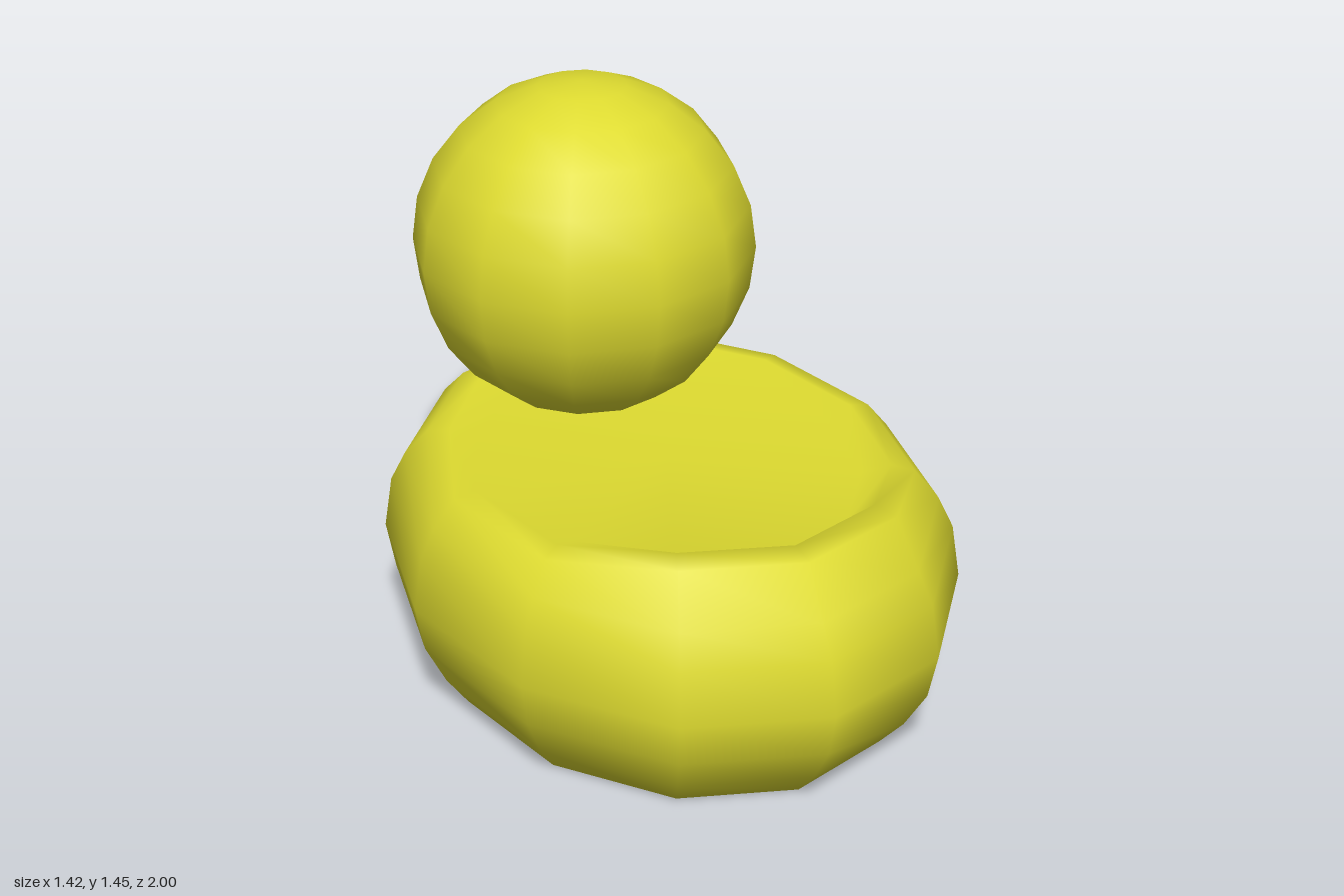
import * as THREE from 'three';
import { mergeVertices } from 'three/addons/utils/BufferGeometryUtils.js';

function material(name, color) {
  const m = new THREE.MeshStandardMaterial({ color });
  m.name = name;
  return m;
}

function part(parent, name, geometry, mat) {
  const mesh = new THREE.Mesh(geometry, mat);
  mesh.name = name;
  parent.add(mesh);
  return mesh;
}

// Oval tub turned from a profile, with the rim pulled up at the tail (+z)
function bodyGeometry() {
  const profile = [
    [0, 0], [0.5, 0], [0.577, 0], [0.635, 0.08], [0.69, 0.19], [0.712, 0.31],
    [0.692, 0.45], [0.655, 0.53], [0.596, 0.602], [0.54, 0.613], [0.47, 0.585], [0, 0.585],
  ].map(([r, y]) => new THREE.Vector2(r, y));
  let g = new THREE.LatheGeometry(profile, 12);
  g.scale(1, 1, 0.9 / 0.712);
  g.translate(0, 0, 0.1);
  const p = g.attributes.position;
  for (let i = 0; i < p.count; i++) {
    if (p.getY(i) > 0.595 && p.getZ(i) > 0.55) p.setY(i, p.getY(i) + 0.056);
  }
  g.deleteAttribute('uv');
  g.deleteAttribute('normal');
  g = mergeVertices(g, 1e-4);
  g.computeVertexNormals();
  return g;
}

export function createModel() {
  const yellow = material('duck yellow', 0xdedb30);
  const orange = material('beak orange', 0xdb982b);
  const white = material('eye white', 0xdcdcdc);
  const black = material('pupil black', 0x0a0a0a);

  const duck = new THREE.Group();
  duck.name = 'bathDuck';
  part(duck, 'body', bodyGeometry(), yellow);

  // Head, facing -z
  const R = 0.459;
  const head = new THREE.Group();
  head.name = 'headGroup';
  head.position.set(0, 0.99, -0.405);
  duck.add(head);
  part(head, 'head', new THREE.SphereGeometry(R, 12, 12), yellow);

  // Six-sided beak, narrowing to a flat tip
  const beak = new THREE.CylinderGeometry(0.088, 0.112, 0.24, 6, 1, false, Math.PI / 6);
  beak.rotateX(-Math.PI / 2);
  beak.scale(1, 0.66, 1);
  part(duck, 'beak', beak, orange).position.set(0, 0.878, -0.88);

  // Eyes: thin discs lying on the flat faces of the head beside the beak
  const step = Math.PI / 12;
  const dist = R * Math.cos(step) * Math.cos(step / 2);
  for (const side of [1, -1]) {
    const eye = new THREE.Group();
    eye.name = side > 0 ? 'leftEye' : 'rightEye';
    eye.rotation.set(-step / 2, Math.PI - side * step, 0, 'YXZ');
    head.add(eye);
    const rim = part(eye, 'eyeRim', new THREE.CircleGeometry(0.063, 16), white);
    rim.position.set(-side * 0.047, 0, dist + 0.004);
    const pupil = part(eye, 'pupil', new THREE.CircleGeometry(0.048, 16), black);
    pupil.position.set(-side * 0.047, 0, dist + 0.007);
  }
  return duck;
}
